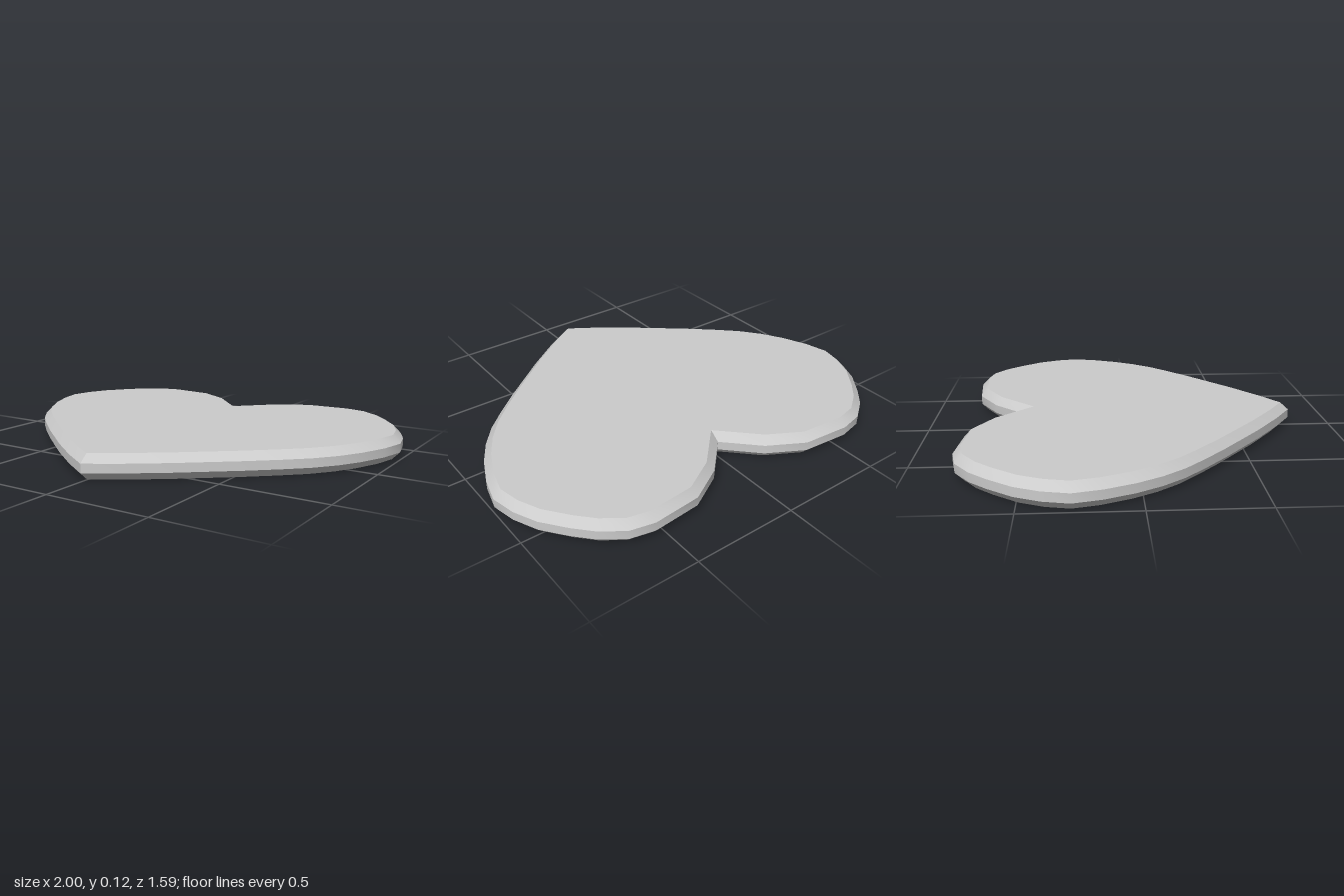
import * as THREE from 'three';
import { toCreasedNormals } from 'three/addons/utils/BufferGeometryUtils.js';

// Right half of the heart outline as [x, z], from the notch round to the tip
const HALF = [
  [0, -0.53], [0.15, -0.68], [0.32, -0.775], [0.55, -0.795], [0.665, -0.77],
  [0.765, -0.7], [0.84, -0.62], [0.925, -0.51], [0.975, -0.4], [1, -0.285],
  [0.97, -0.16], [0.915, -0.03], [0.85, 0.08], [0.77, 0.18], [0.67, 0.275],
  [0.55, 0.38], [0.31, 0.575], [0.14, 0.7], [0, 0.79],
];
const BEVEL = 0.035, CHAMFER = 0.037, BAND = 0.042;

export function createModel() {
  const group = new THREE.Group();
  group.name = 'heartPlate';

  // Mirror the half outline; shape y becomes -z once laid flat
  const left = HALF.slice(1, -1).reverse().map(([x, z]) => [-x, z]);
  const outline = [...HALF, ...left].map(([x, z]) => new THREE.Vector2(x, -z));

  // Flat slab with a chamfer on the top and bottom edges
  const slab = new THREE.ExtrudeGeometry(new THREE.Shape(outline), {
    depth: BAND,
    bevelEnabled: true,
    bevelSegments: 1,
    bevelSize: BEVEL,
    bevelOffset: -BEVEL,
    bevelThickness: CHAMFER,
  });
  slab.rotateX(-Math.PI / 2);
  slab.translate(0, CHAMFER, 0);

  // Smooth round the rim, sharp at chamfers, notch and tip
  const heart = new THREE.Mesh(
    toCreasedNormals(slab, 0.55),
    new THREE.MeshStandardMaterial({ color: 0xcccccc })
  );
  heart.name = 'heart';
  group.add(heart);
  return group;
}
